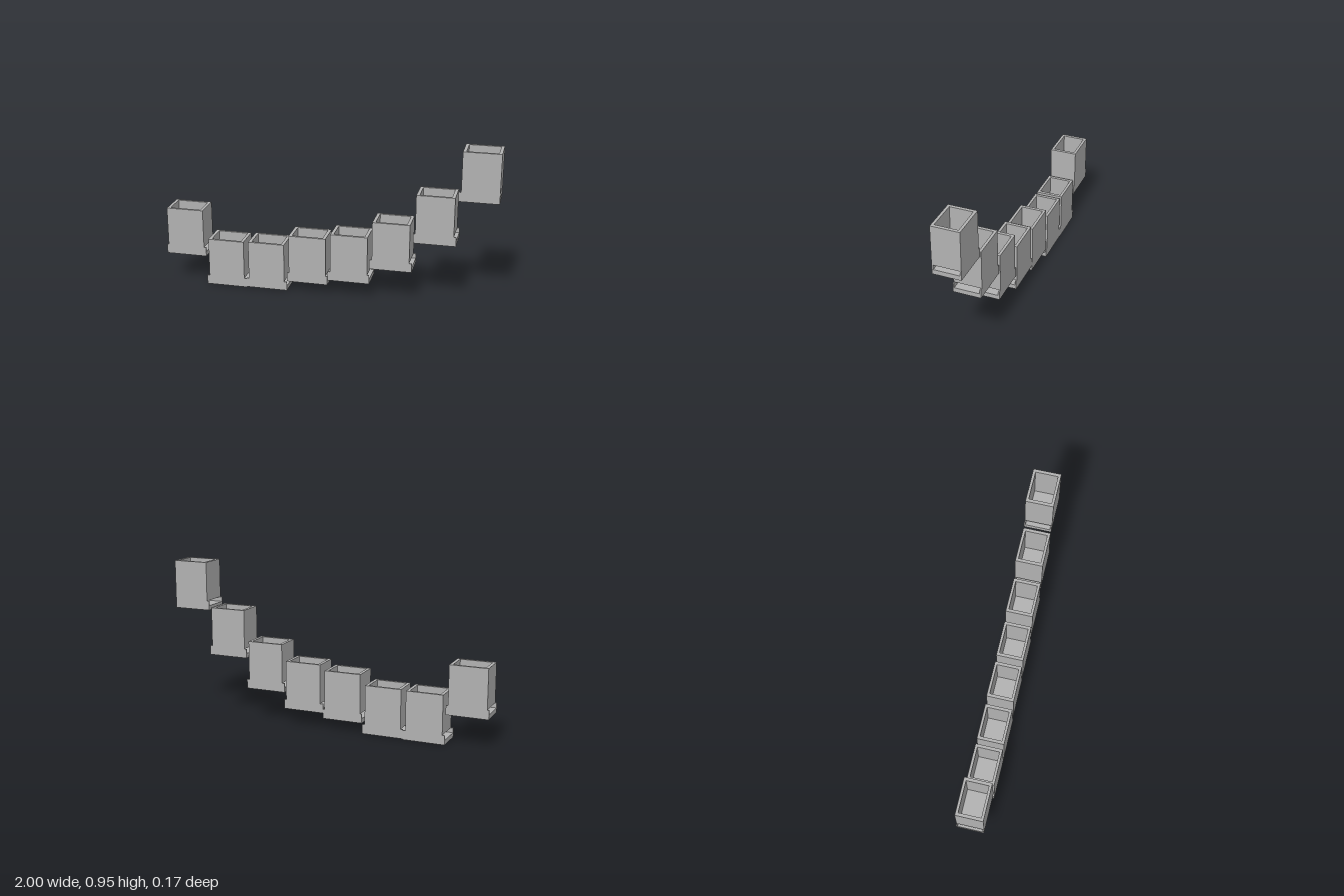
import * as THREE from 'three';

const HEIGHT = 0.293;   // full height of one container
const FLOOR = 0.028;    // thickness of the base plate
const RAIL_TOP = 0.056; // top of the through channel
const HALF_Z = 0.083;
const RAIL = 0.008;     // channel side wall thickness
const WALL_X = 0.019;
const WALL_Z = 0.016;

// base left, base right, body left, body right, bottom height
const UNITS = [
  [-1.0, -0.75, -0.99, -0.763, 0.18],
  [-0.748, -0.495, -0.733, -0.511, 0],
  [-0.495, -0.243, -0.481, -0.259, 0.004],
  [-0.24, 0.008, -0.229, -0.003, 0.066],
  [0.009, 0.262, 0.026, 0.25, 0.098],
  [0.262, 0.514, 0.277, 0.499, 0.197],
  [0.517, 0.766, 0.529, 0.752, 0.384],
  [0.768, 1.0, 0.782, 1.0, 0.66],
];

function rectangle(path, x0, x1, z) {
  path.moveTo(x0, -z);
  path.lineTo(x1, -z);
  path.lineTo(x1, z);
  path.lineTo(x0, z);
  path.closePath();
  return path;
}

export function createModel() {
  const model = new THREE.Group();
  model.name = 'steppedContainers';
  const grey = new THREE.MeshStandardMaterial({ color: 0xb2b2b2 });
  grey.name = 'grey';

  function box(parent, name, x0, x1, y0, y1, z0, z1) {
    const mesh = new THREE.Mesh(new THREE.BoxGeometry(x1 - x0, y1 - y0, z1 - z0), grey);
    mesh.position.set((x0 + x1) / 2, (y0 + y1) / 2, (z0 + z1) / 2);
    mesh.name = name;
    parent.add(mesh);
  }

  UNITS.forEach(([base0, base1, body0, body1, bottom], i) => {
    const unit = new THREE.Group();
    unit.name = `container${i + 1}`;
    unit.position.y = bottom;
    model.add(unit);

    // Base plate and the two rails of the open channel
    box(unit, 'basePlate', base0, base1, 0, FLOOR, -HALF_Z, HALF_Z);
    box(unit, 'frontRail', base0, base1, FLOOR, RAIL_TOP, HALF_Z - RAIL, HALF_Z);
    box(unit, 'backRail', base0, base1, FLOOR, RAIL_TOP, -HALF_Z, RAIL - HALF_Z);

    // Four walls around the open compartment
    const outline = rectangle(new THREE.Shape(), body0, body1, HALF_Z);
    outline.holes.push(rectangle(new THREE.Path(), body0 + WALL_X, body1 - WALL_X, HALF_Z - WALL_Z));
    const geometry = new THREE.ExtrudeGeometry(outline, { depth: HEIGHT - RAIL_TOP, bevelEnabled: false });
    geometry.rotateX(-Math.PI / 2);
    const walls = new THREE.Mesh(geometry, grey);
    walls.name = 'walls';
    walls.position.y = RAIL_TOP;
    unit.add(walls);

    // Compartment floor above the channel
    box(unit, 'compartmentFloor', body0 + WALL_X, body1 - WALL_X, RAIL_TOP, RAIL_TOP + 0.015,
      WALL_Z - HALF_Z, HALF_Z - WALL_Z);
  });
  return model;
}
